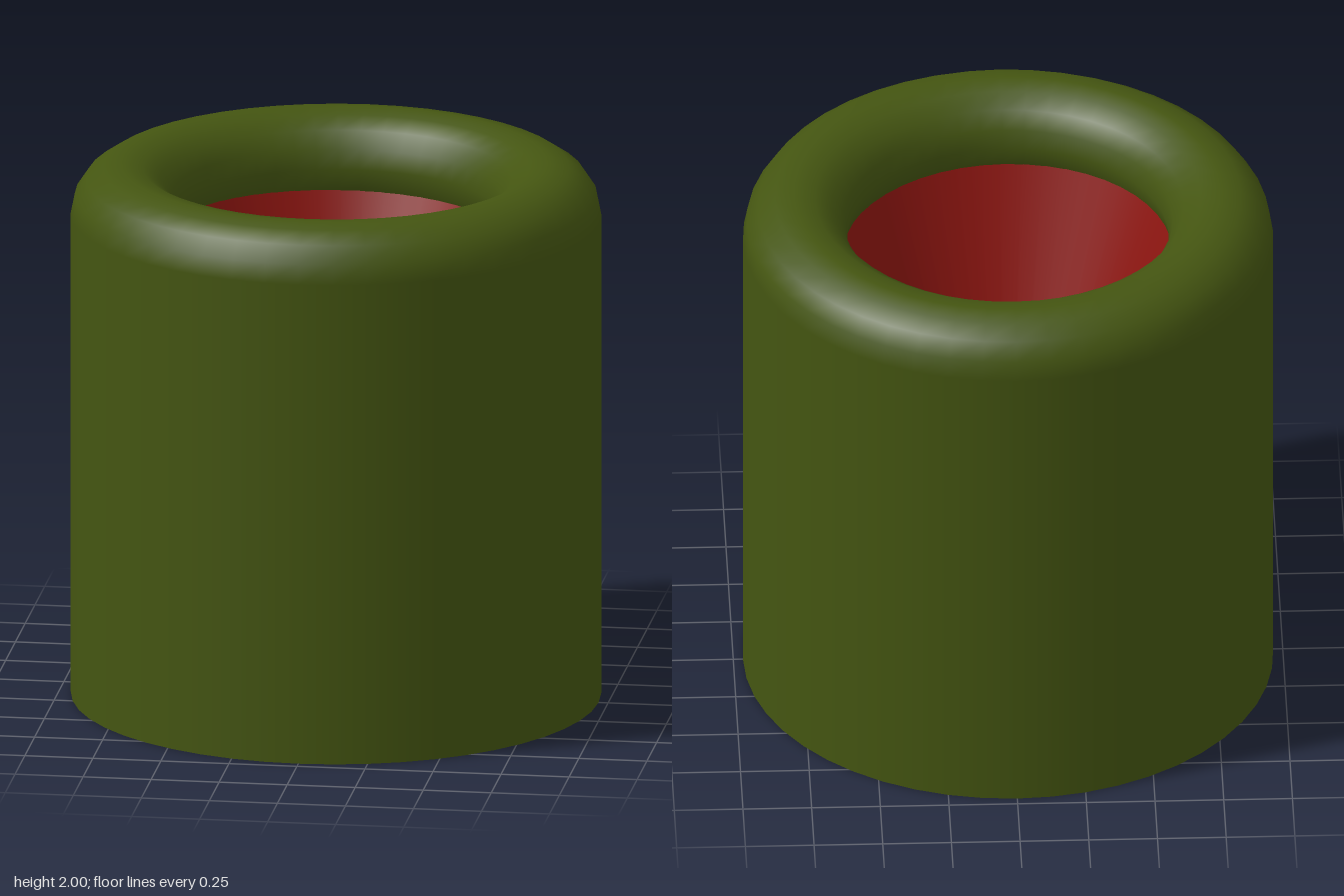
import * as THREE from 'three';

const SEGMENTS = 48;
const RADIUS = 0.965;
const TUBE = 0.19;
const RIM_Y = 2 - TUBE;

function addMesh(group, name, geometry, material) {
  const mesh = new THREE.Mesh(geometry, material);
  mesh.name = name;
  group.add(mesh);
  return mesh;
}

export function createModel() {
  const model = new THREE.Group();
  model.name = 'hollowDrum';
  const green = new THREE.MeshStandardMaterial({ color: 0x445511, side: THREE.DoubleSide });
  const red = new THREE.MeshStandardMaterial({ color: 0x8b1510, side: THREE.DoubleSide });

  // Straight outer wall, open at both ends
  const wall = addMesh(model, 'outerWall',
    new THREE.CylinderGeometry(RADIUS, RADIUS, RIM_Y, SEGMENTS, 1, true), green);
  wall.position.y = RIM_Y / 2;

  // Rounded rim that curls over into the mouth
  const rim = addMesh(model, 'roundedRim',
    new THREE.TorusGeometry(RADIUS - TUBE, TUBE, 16, SEGMENTS), green);
  rim.rotation.x = -Math.PI / 2;
  rim.position.y = RIM_Y;

  // Tapered funnel, open at the bottom, its top edge tucked into the rim
  const bottom = 0.49;
  const height = 1.8 - bottom;
  const funnel = addMesh(model, 'innerFunnel',
    new THREE.CylinderGeometry(0.63, 0.145, height, SEGMENTS, 1, true), red);
  funnel.position.set(0.01, bottom + height / 2, -0.005);

  return model;
}
